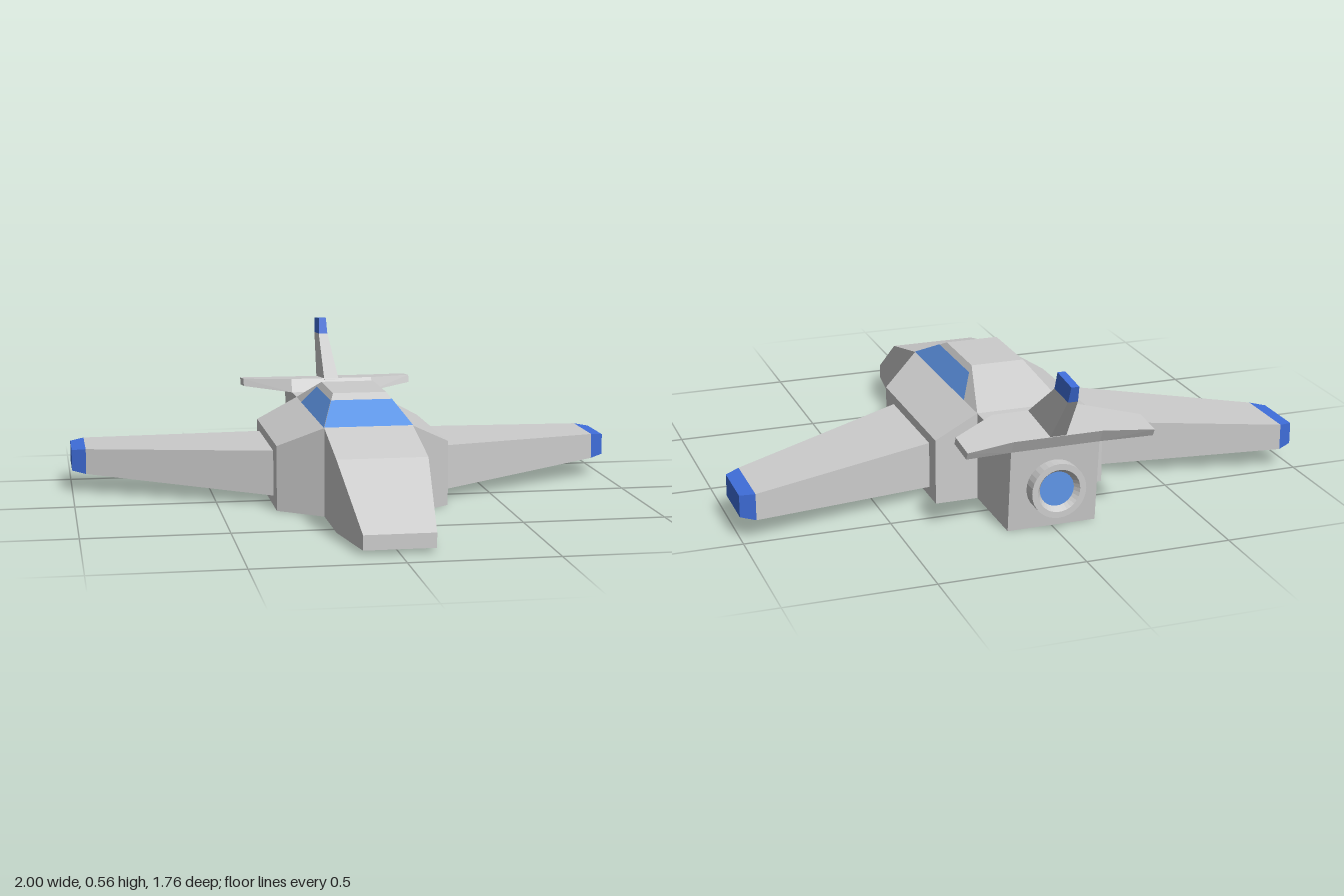
import * as THREE from 'three';
import { ConvexGeometry } from 'three/addons/geometries/ConvexGeometry.js';

const makeMaterial = (name, color) => {
  const m = new THREE.MeshStandardMaterial({ color });
  m.name = name;
  return m;
};

export function createModel() {
  const grey = makeMaterial('hullGrey', 0xcccccc);
  const trimBlue = makeMaterial('trimBlue', 0x3f6edb);
  const glassBlue = makeMaterial('glassBlue', 0x6098ea);
  const model = new THREE.Group();
  model.name = 'spacePlane';

  const add = (name, geometry, material) => {
    const mesh = new THREE.Mesh(geometry, material);
    mesh.name = name;
    model.add(mesh);
    return mesh;
  };
  // Flat-faced convex block from its corners
  const block = (name, material, corners) =>
    add(name, new ConvexGeometry(corners.map(p => new THREE.Vector3(...p))), material);
  // Section across x: the same [y, z] outline at one x
  const sectionX = (x, outline) => outline.map(([y, z]) => [x, y, z]);
  // Rectangular outline [y, z]
  const rect = (y0, y1, z0, z1) => [[y0, z0], [y0, z1], [y1, z0], [y1, z1]];
  // Mirrored corner pairs from [half width, y, z]
  const pairs = list => list.flatMap(([x, y, z]) => [[x, y, z], [-x, y, z]]);
  // Thin four-cornered pane lifted just off the surface, corners counter-clockwise
  const pane = (name, corners) => {
    const p = corners.map(c => new THREE.Vector3(...c));
    const n = p[1].clone().sub(p[0]).cross(p[2].clone().sub(p[0])).normalize();
    p.forEach(v => v.addScaledVector(n, 0.002));
    const g = new THREE.BufferGeometry().setFromPoints([0, 1, 2, 0, 2, 3].map(i => p[i]));
    g.computeVertexNormals();
    add(name, g, glassBlue);
  };

  // Fuselage with wedge nose
  block('fuselage', grey, pairs([
    [0.12, 0.015, 0.88], [0.12, 0.065, 0.88],
    [0.155, 0.003, 0.565], [0.155, 0.25, 0.565],
    [0.155, 0, 0.3], [0.155, 0.31, 0.3],
    [0.155, 0.31, -0.39],
    [0.155, 0, -0.69], [0.155, 0.305, -0.72],
  ]));

  // Canopy and its panes
  block('canopy', grey, pairs([
    [0.155, 0.31, 0.3], [0.155, 0.31, -0.39],
    [0.095, 0.4, 0.11], [0.095, 0.4, -0.16],
  ]));
  pane('windshield', [
    [-0.155, 0.31, 0.3], [0.155, 0.31, 0.3], [0.108, 0.38, 0.152], [-0.108, 0.38, 0.152],
  ]);
  const sidePane = [
    [0.155, 0.31, 0.3], [0.155, 0.31, -0.255], [0.108, 0.38, -0.175], [0.108, 0.38, 0.152],
  ];
  pane('leftWindow', sidePane);
  pane('rightWindow', sidePane.map(([x, y, z]) => [-x, y, z]).reverse());

  // Parts mirrored on both sides
  for (const [side, s] of [['left', 1], ['right', -1]]) {
    // Side pod with sloping top and chamfered front
    block(side + 'Pod', grey, [
      ...sectionX(s * 0.155, rect(0, 0.31, 0.3, -0.39)),
      ...sectionX(s * 0.305, rect(0, 0.23, 0.18, -0.39)),
    ]);

    // Swept wing and bevelled tip
    const wingEnd = sectionX(s * 0.95, rect(0.07, 0.162, -0.24, -0.483));
    block(side + 'Wing', grey, [
      ...sectionX(s * 0.3, rect(0.035, 0.197, 0.09, -0.32)), ...wingEnd,
    ]);
    block(side + 'WingTip', trimBlue, [
      ...wingEnd, ...sectionX(s * 1, rect(0.079, 0.155, -0.268, -0.462)),
    ]);
  }

  // Tailplane: centre slab and two tapering halves
  const tailRoot = [[0.308, -0.512], [0.356, -0.537], [0.335, -0.745], [0.29, -0.722]];
  const tailTip = [[0.316, -0.65], [0.343, -0.662], [0.331, -0.78], [0.305, -0.766]];
  block('tailCentre', grey, [...sectionX(0.155, tailRoot), ...sectionX(-0.155, tailRoot)]);
  for (const [side, s] of [['left', 1], ['right', -1]]) {
    block(side + 'Tailplane', grey, [
      ...sectionX(s * 0.155, tailRoot), ...sectionX(s * 0.325, tailTip),
    ]);
  }

  // Swept fin with coloured tip
  const finSplit = [[0.017, 0.502, -0.745], [0.017, 0.494, -0.862]];
  block('fin', grey, pairs([[0.028, 0.35, -0.53], [0.028, 0.33, -0.738], ...finSplit]));
  block('finTip', trimBlue, pairs([...finSplit, [0.0135, 0.562, -0.76], [0.0135, 0.55, -0.88]]));

  // Engine nozzle ring and glowing disc
  const ring = [[0.095, 0.68], [0.095, 0.757], [0.074, 0.757], [0.06, 0.735]]
    .map(([r, y]) => new THREE.Vector2(r, y));
  const ringGeometry = new THREE.LatheGeometry(ring, 32).toNonIndexed();
  ringGeometry.computeVertexNormals();
  const nozzle = add('engineNozzle', ringGeometry, grey);
  nozzle.rotation.x = -Math.PI / 2;
  nozzle.position.y = 0.148;
  const disc = add('engineDisc', new THREE.CircleGeometry(0.061, 32), glassBlue);
  disc.rotation.y = Math.PI;
  disc.position.set(0, 0.148, -0.735);

  return model;
}
